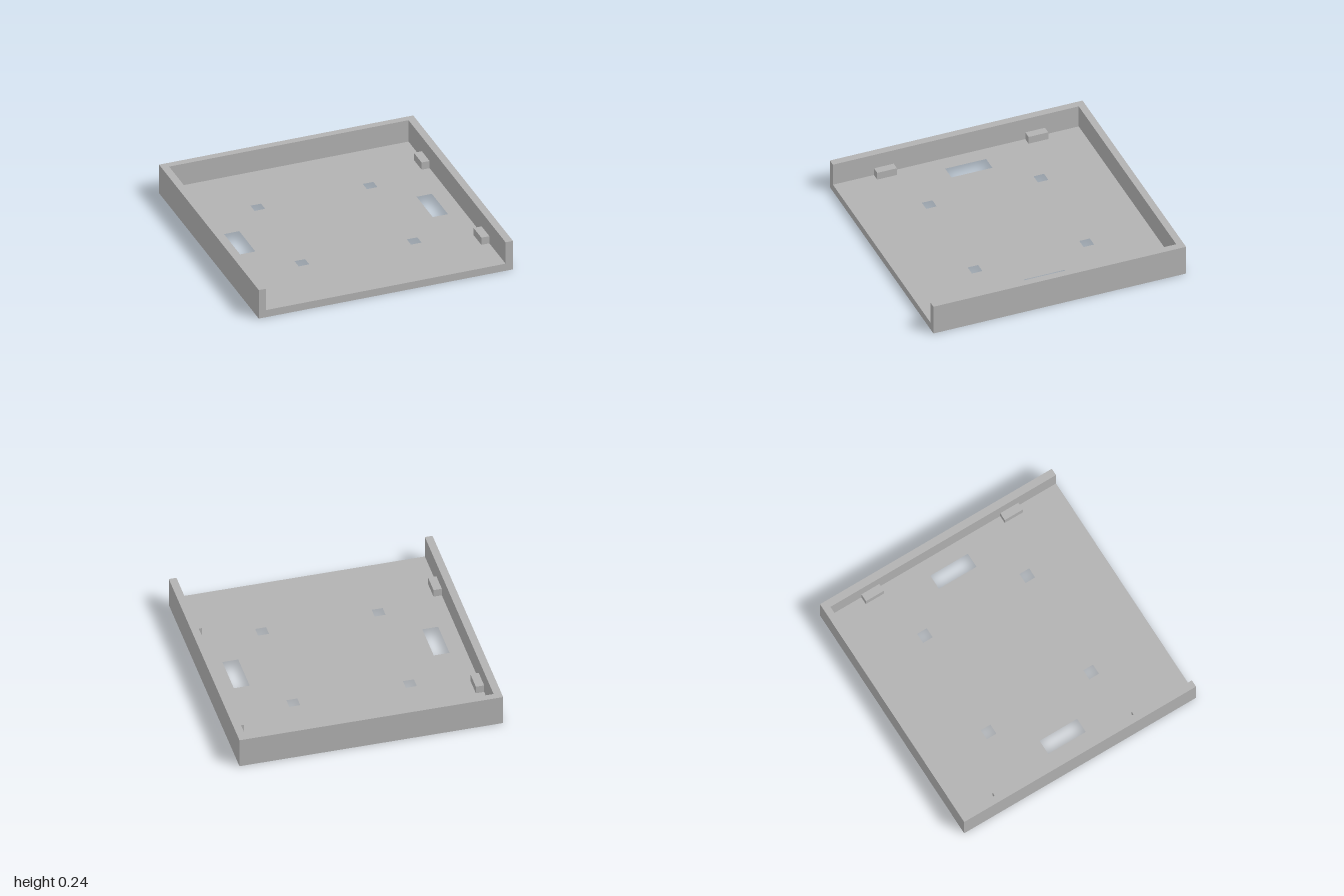
import * as THREE from 'three';

const FLOOR = 0.06, HEIGHT = 0.24, SIDE = 0.942, BACK = -0.946;

// Closed outline from [x, z] corners; z is flipped because the extrusion is laid flat
function outline(points, Type = THREE.Shape) {
  return new Type(points.map(([x, z]) => new THREE.Vector2(x, -z)));
}

function rect(x, z, w, d) {
  return [[x - w / 2, z - d / 2], [x + w / 2, z - d / 2], [x + w / 2, z + d / 2], [x - w / 2, z + d / 2]];
}

// Upright prism from y0 to y1
function prism(name, shape, y0, y1, material) {
  const geometry = new THREE.ExtrudeGeometry(shape, { depth: y1 - y0, bevelEnabled: false });
  geometry.rotateX(-Math.PI / 2).translate(0, y0, 0);
  const mesh = new THREE.Mesh(geometry, material);
  mesh.name = name;
  return mesh;
}

export function createModel() {
  const model = new THREE.Group();
  model.name = 'tray';
  const grey = new THREE.MeshStandardMaterial({ color: 0xb2b2b2 });
  grey.name = 'grey';

  // Floor with two long slots and four square holes
  const floor = outline(rect(0, 0, 2, 2));
  for (const side of [-1, 1]) {
    floor.holes.push(outline(rect(side * 0.758, 0, 0.12, 0.324), THREE.Path));
    for (const z of [-0.442, 0.442]) {
      floor.holes.push(outline(rect(side * 0.442, z, 0.083, 0.083), THREE.Path));
    }
  }
  model.add(prism('floor', floor, 0, FLOOR, grey));

  // Walls on the back and both sides, open at the front
  const walls = outline([
    [-1, 1], [-1, -1], [1, -1], [1, 1],
    [SIDE, 1], [SIDE, BACK], [-SIDE, BACK], [-SIDE, 1],
  ]);
  model.add(prism('walls', walls, FLOOR, HEIGHT, grey));

  // Small support blocks against the side walls
  for (const side of [-1, 1]) {
    for (const z of [-0.601, 0.597]) {
      const block = new THREE.Mesh(new THREE.BoxGeometry(SIDE - 0.879, 0.06, 0.156), grey);
      block.name = 'supportBlock';
      block.position.set(side * (SIDE + 0.879) / 2, FLOOR + 0.03, z);
      model.add(block);
    }
  }
  return model;
}
